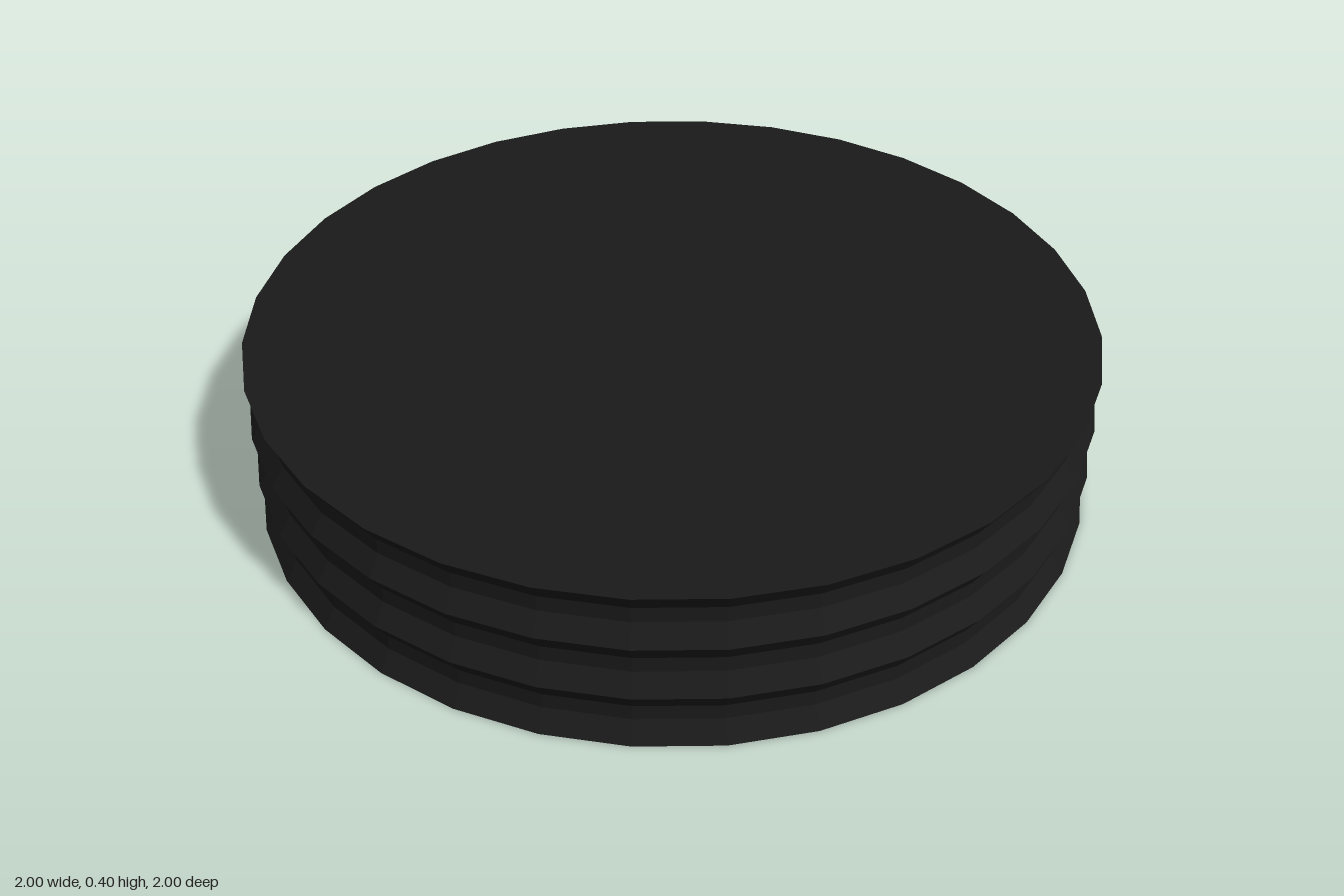
import * as THREE from 'three';

const SIDES = 32;
const HEIGHT = 0.4;
const RIDGE_RADIUS = 1;
const GROOVE_RADIUS = 0.97;
const GROOVES = 3;

export function createModel() {
  const group = new THREE.Group();
  group.name = 'groovedDisc';

  // Half section: flat bottom, three flat-bottomed grooves between sharp ridges, flat top
  const step = HEIGHT / GROOVES;
  const profile = [new THREE.Vector2(0, 0), new THREE.Vector2(RIDGE_RADIUS, 0)];
  for (let i = 0; i < GROOVES; i++) {
    const y = i * step;
    profile.push(
      new THREE.Vector2(GROOVE_RADIUS, y + step * 0.36),
      new THREE.Vector2(GROOVE_RADIUS, y + step * 0.64),
      new THREE.Vector2(RIDGE_RADIUS, y + step),
    );
  }
  profile.push(new THREE.Vector2(0, HEIGHT));

  const material = new THREE.MeshStandardMaterial({ color: 0x1a1a1a, flatShading: true });
  const disc = new THREE.Mesh(new THREE.LatheGeometry(profile, SIDES), material);
  disc.name = 'disc';
  group.add(disc);
  return group;
}
